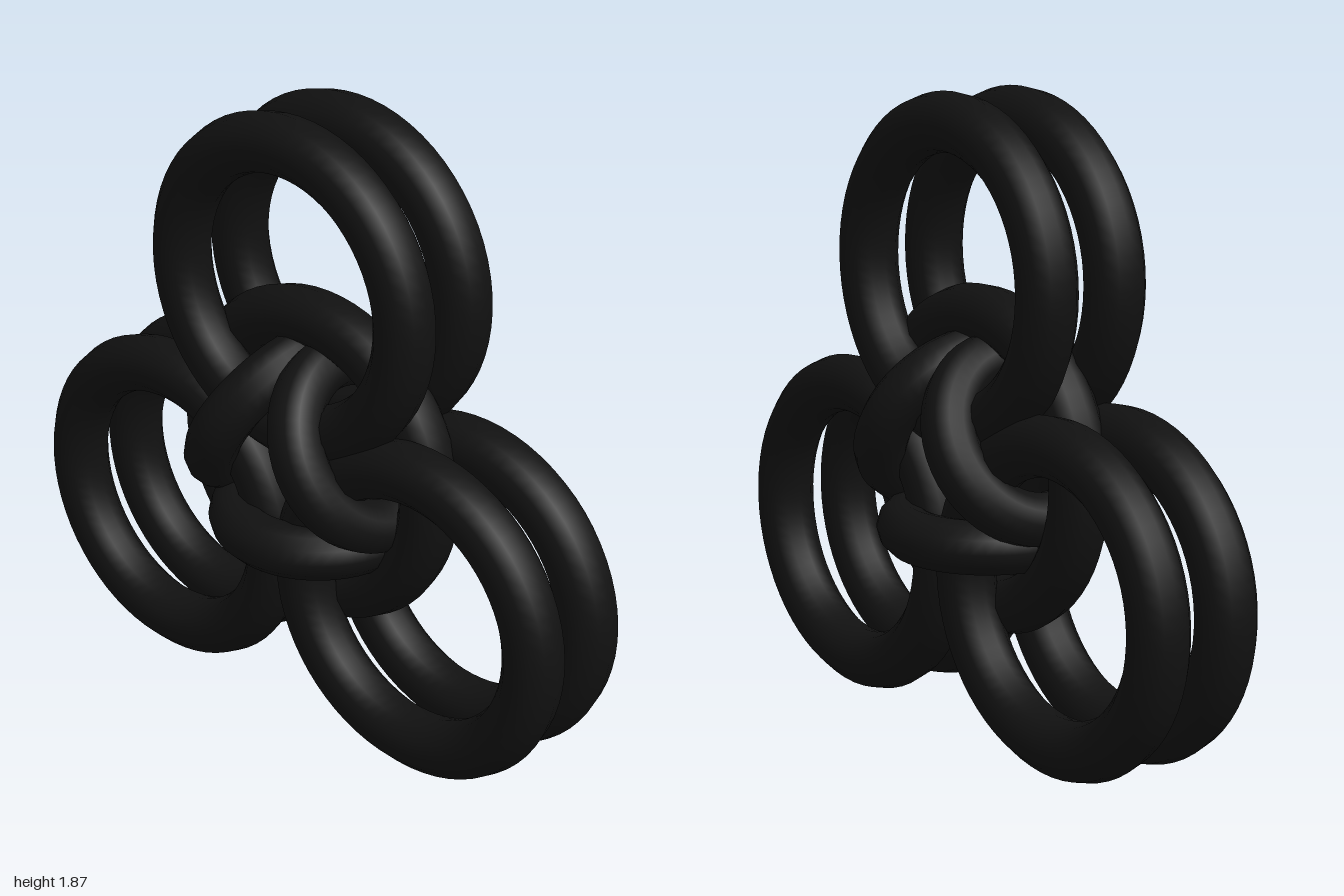
import * as THREE from 'three';

export function createModel() {
  const model = new THREE.Group();
  model.name = 'linkedRings';
  const material = new THREE.MeshStandardMaterial({ color: 0x111111 });

  const largeRing = new THREE.TorusGeometry(0.428, 0.087, 12, 64);
  const smallRing = new THREE.TorusGeometry(0.244, 0.08, 12, 48);

  const addRing = (parent, geometry, name, x, y, z) => {
    const ring = new THREE.Mesh(geometry, material);
    ring.name = name;
    ring.position.set(x, y, z);
    parent.add(ring);
    return ring;
  };

  // All parts are arranged around the middle of the cluster
  const cluster = new THREE.Group();
  cluster.name = 'ringCluster';
  cluster.position.y = 0.795;
  model.add(cluster);

  addRing(cluster, largeRing, 'centreRing', 0, 0, 0);

  // Three arms: a pair of parallel large rings, and an edge-on binding ring opposite
  ['top', 'right', 'left'].forEach((side, i) => {
    const arm = new THREE.Group();
    arm.name = side + 'Arm';
    arm.rotation.z = i * Math.PI * 2 / 3;
    cluster.add(arm);
    addRing(arm, largeRing, 'frontOuterRing', 0, 0.56, 0.118);
    addRing(arm, largeRing, 'backOuterRing', 0, 0.56, -0.118);
    addRing(arm, smallRing, 'bindingRing', 0, -0.196, 0).rotation.x = Math.PI / 2;
  });

  // Rotating the top arm a third of a turn moves it to -x, the model's right
  return model;
}
